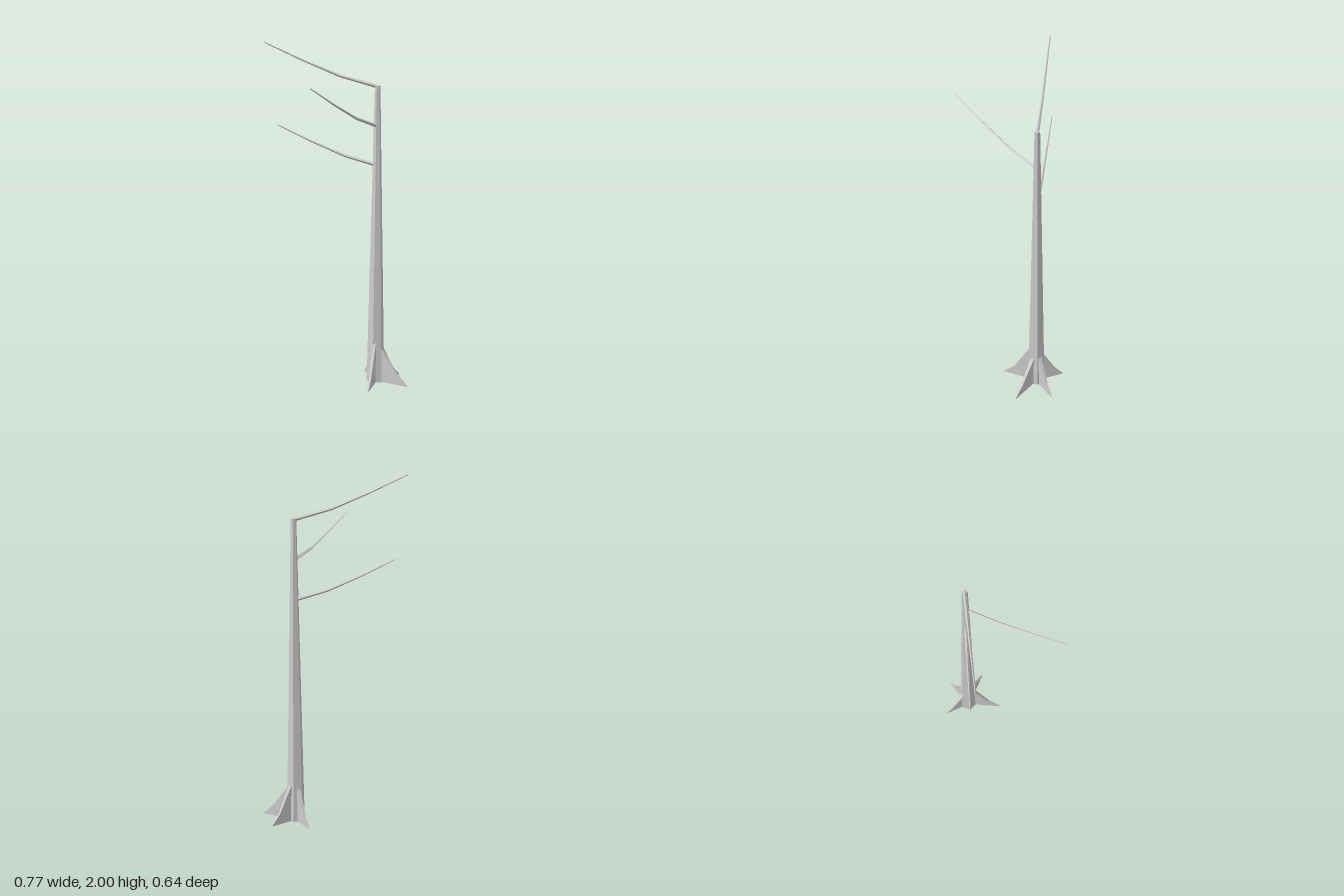
import * as THREE from 'three';

const TRUNK = { x: 0.207, z: 0.113, height: 1.755, base: 0.054, top: 0.016 };

// Closed solid through four-cornered rings (corners counter-clockwise seen from the end)
function loft(rings) {
  const pos = [];
  const quad = (a, b, c, d) => [a, b, c, a, c, d].forEach((p) => pos.push(p.x, p.y, p.z));
  for (let i = 0; i < rings.length - 1; i++) {
    for (let k = 0; k < 4; k++) {
      const n = (k + 1) % 4;
      quad(rings[i][k], rings[i][n], rings[i + 1][n], rings[i + 1][k]);
    }
  }
  const s = rings[0], e = rings[rings.length - 1];
  quad(s[3], s[2], s[1], s[0]);
  quad(e[0], e[1], e[2], e[3]);
  const geo = new THREE.BufferGeometry();
  geo.setAttribute('position', new THREE.Float32BufferAttribute(pos, 3));
  geo.computeVertexNormals();
  return geo;
}

// Both helpers run outward along local +z, and are then turned towards a tip
// Flat-sided buttress root: tall at the trunk, sweeping down to a thin toe
function rootGeometry(length, height) {
  const profile = [
    [0.042, height, 0.011],
    [length * 0.68, 0.065, 0.007],
    [length, 0.002, 0.004],
  ];
  return loft(profile.map(([r, h, w]) => [
    new THREE.Vector3(-w, 0, r), new THREE.Vector3(w, 0, r),
    new THREE.Vector3(w, h, r), new THREE.Vector3(-w, h, r),
  ]));
}

// Thin upswept branch with a diamond section
function branchGeometry(length, rise) {
  const lift = [0, 0.24, 0.6, 1];
  return loft(lift.map((f, i) => {
    const z = (length * i) / 3, y = rise * f, w = 0.0105 - 0.0023 * i;
    return [
      new THREE.Vector3(0, y - w, z), new THREE.Vector3(w, y, z),
      new THREE.Vector3(0, y + w, z), new THREE.Vector3(-w, y, z),
    ];
  }));
}

export function createModel() {
  const tree = new THREE.Group();
  tree.name = 'bareTree';
  const bark = new THREE.MeshStandardMaterial({ color: 0xcccccc, flatShading: true });

  const add = (name, geo, y, angle = 0) => {
    const mesh = new THREE.Mesh(geo, bark);
    mesh.name = name;
    mesh.position.set(TRUNK.x, y, TRUNK.z);
    mesh.rotation.y = angle;
    tree.add(mesh);
  };

  // Tapered six-sided trunk
  add('trunk', new THREE.CylinderGeometry(TRUNK.top, TRUNK.base, TRUNK.height, 6), TRUNK.height / 2);

  // Roots: tip x, tip z, height against the trunk
  const roots = [
    [0.265, -0.047, 0.2], [0.386, 0.13, 0.215], [0.272, 0.319, 0.2], [0.034, 0.236, 0.245],
  ];
  roots.forEach(([x, z, h], i) => {
    const dx = x - TRUNK.x, dz = z - TRUNK.z;
    add(`root${i + 1}`, rootGeometry(Math.hypot(dx, dz), h), 0, Math.atan2(dx, dz));
  });

  // Branches: tip x, tip z, start height, rise
  const branches = [
    [-0.2, -0.288, 1.3, 0.228], [-0.386, 0.245, 1.525, 0.238], [-0.266, -0.319, 1.75, 0.247],
  ];
  branches.forEach(([x, z, y, rise], i) => {
    const dx = x - TRUNK.x, dz = z - TRUNK.z;
    add(`branch${i + 1}`, branchGeometry(Math.hypot(dx, dz), rise), y, Math.atan2(dx, dz));
  });

  return tree;
}
